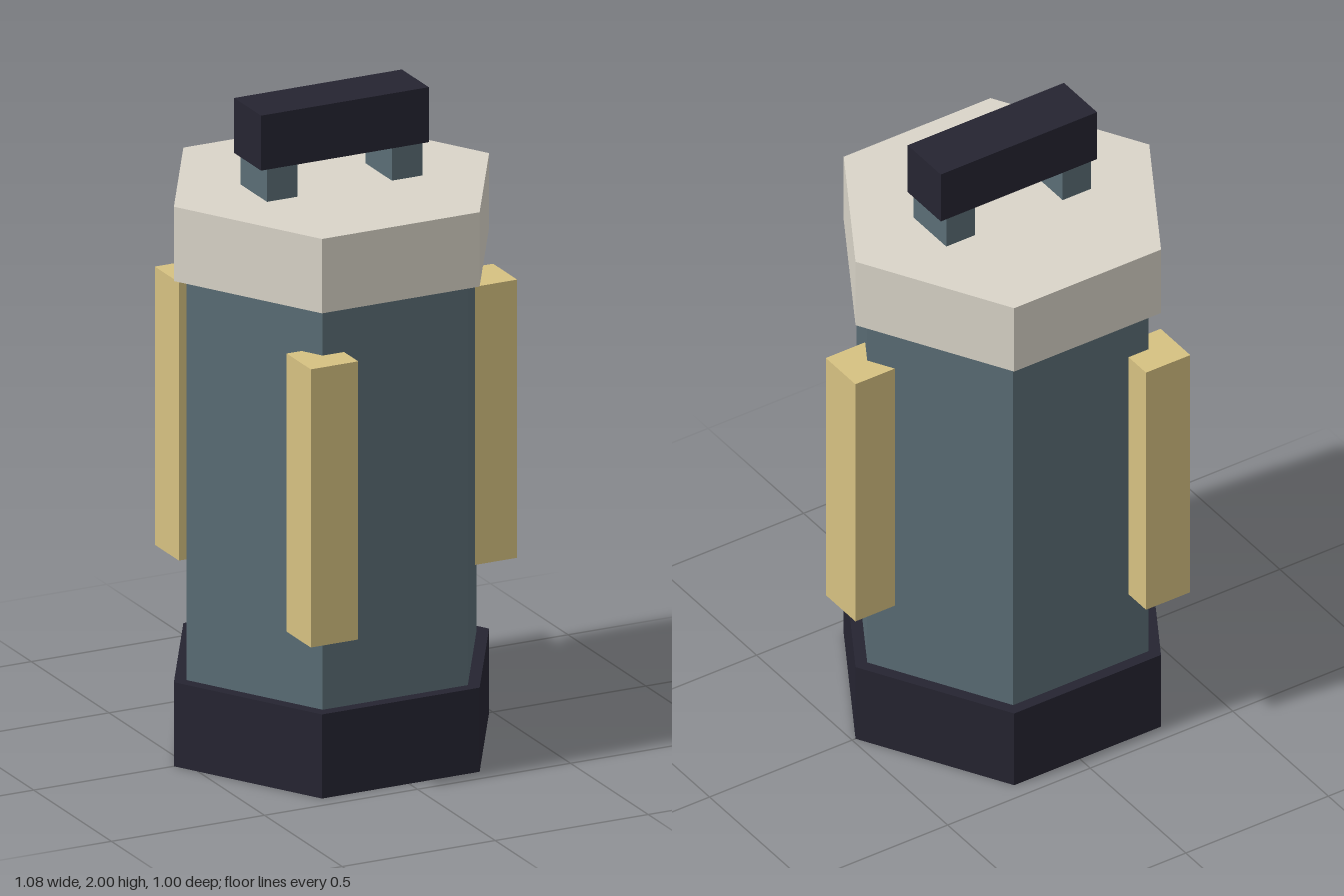
import * as THREE from 'three';

const paint = (name, color) => {
  const m = new THREE.MeshStandardMaterial({ color });
  m.name = name;
  m.flatShading = true;
  return m;
};

export function createModel() {
  const dark = paint('charcoal', 0x252431);
  const steel = paint('slate blue', 0x5a6d75);
  const cream = paint('pale grey', 0xdad5c9);
  const brass = paint('brass', 0xd6c181);

  const model = new THREE.Group();
  model.name = 'canister';
  const axis = -0.027; // centre line of the hexagonal body

  const add = (name, geometry, material, x, y, z) => {
    const mesh = new THREE.Mesh(geometry, material);
    mesh.name = name;
    mesh.position.set(axis + x, y, z);
    model.add(mesh);
  };

  // Hexagonal prism with corners on the x axis
  const hexPrism = (name, radius, y0, y1, material) =>
    add(name, new THREE.CylinderGeometry(radius, radius, y1 - y0, 6, 1, false, Math.PI / 6),
      material, 0, (y0 + y1) / 2, 0);

  // Base, body and cap
  hexPrism('base', 0.515, 0, 0.26, dark);
  hexPrism('body', 0.474, 0.26, 1.5, steel);
  hexPrism('cap', 0.515, 1.5, 1.73, cream);

  // Three square bars on alternate corners, all aligned with the axes
  for (let i = 0; i < 3; i++) {
    const a = (i * 2 * Math.PI) / 3;
    add('sideBar', new THREE.BoxGeometry(0.155, 0.86, 0.155), brass,
      0.49 * Math.cos(a), 0.925, 0.49 * Math.sin(a));
  }

  // Carrying handle on two posts that run up into the grip
  for (const side of [-1, 1]) {
    add('handlePost', new THREE.BoxGeometry(0.1, 0.2, 0.171), steel, side * 0.204, 1.82, 0);
  }
  add('handleGrip', new THREE.BoxGeometry(0.548, 0.17, 0.173), dark, 0, 1.915, 0);

  return model;
}
